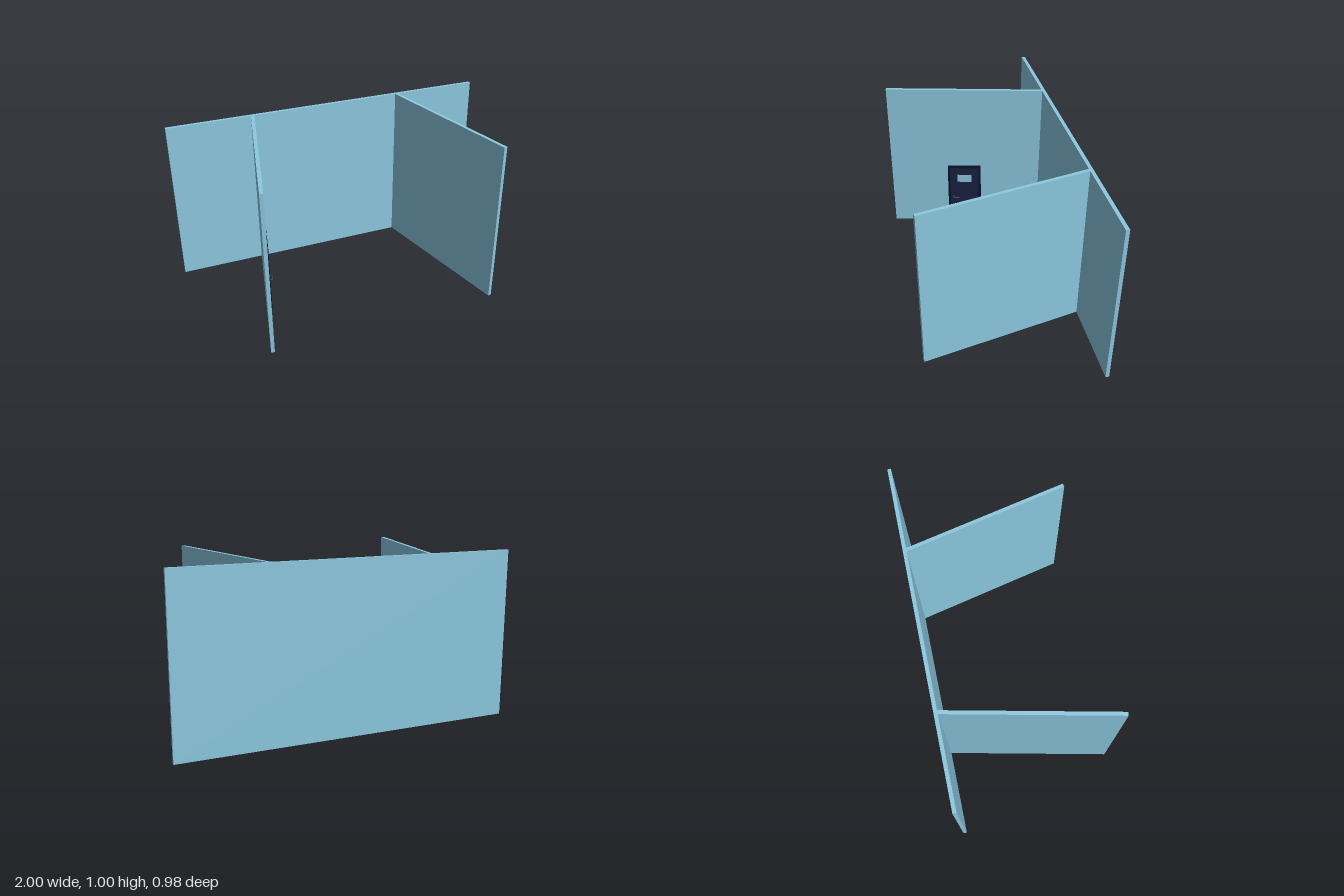
import * as THREE from 'three';

const mat = (color) => new THREE.MeshStandardMaterial({ color });
const wallMat = mat(0x8cc8e0), frameMat = mat(0x0d1128), leafMat = mat(0x18213f), handleMat = mat(0x4a4f5c);

function add(parent, name, geometry, material, x = 0, y = 0, z = 0) {
  const mesh = new THREE.Mesh(geometry, material);
  mesh.name = name;
  mesh.position.set(x, y, z);
  parent.add(mesh);
  return mesh;
}

const THICK = 0.021;

// Upright slab between two floor points [x, z]
function wall(parent, name, a, b) {
  const dx = b[0] - a[0], dz = b[1] - a[1];
  const mesh = add(parent, name, new THREE.BoxGeometry(THICK, 1, Math.hypot(dx, dz)), wallMat,
    (a[0] + b[0]) / 2, 0.5, (a[1] + b[1]) / 2);
  mesh.rotation.y = Math.atan2(dx, dz);
  return mesh;
}

const rect = (Type, x0, y0, x1, y1) => new Type([[x0, y0], [x1, y0], [x1, y1], [x0, y1]]
  .map(([x, y]) => new THREE.Vector2(x, y)));

const extrude = (shape, depth) => new THREE.ExtrudeGeometry(shape, { depth, bevelEnabled: false });

// Door standing on z = 0 and facing +z
function makeDoor() {
  const door = new THREE.Group();
  door.name = 'door';
  const w = 0.11, h = 0.445, t = 0.014;

  // Frame: two jambs and a head in one outline
  const outline = [[-w, 0], [-w + t, 0], [-w + t, h - t], [w - t, h - t], [w - t, 0], [w, 0], [w, h], [-w, h]];
  const frame = new THREE.Shape(outline.map(([x, y]) => new THREE.Vector2(x, y)));
  add(door, 'doorFrame', extrude(frame, 0.012), frameMat);

  // Leaf with a window opening
  const leaf = rect(THREE.Shape, -w + t, 0.002, w - t, h - t);
  leaf.holes.push(rect(THREE.Path, -0.048, 0.315, 0.048, 0.376));
  add(door, 'doorLeaf', extrude(leaf, 0.007), leafMat);

  // Lever handle: rose and a bent bar
  const rose = add(door, 'handleRose', new THREE.CylinderGeometry(0.006, 0.006, 0.003, 16), handleMat, -0.076, 0.2, 0.008);
  rose.rotation.x = Math.PI / 2;
  const path = new THREE.CatmullRomCurve3([[-0.076, 0.006], [-0.076, 0.021], [-0.071, 0.026], [-0.038, 0.026]]
    .map(([x, z]) => new THREE.Vector3(x, 0.2, z)), false, 'catmullrom', 0.2);
  add(door, 'handleLever', new THREE.TubeGeometry(path, 24, 0.0022, 8), handleMat);
  add(door, 'handleTip', new THREE.SphereGeometry(0.0022, 8, 6), handleMat, -0.038, 0.2, 0.026);
  return door;
}

export function createModel() {
  const model = new THREE.Group();
  model.name = 'roomWalls';

  add(model, 'backWall', new THREE.BoxGeometry(2, 1, THICK), wallMat, 0, 0.5, -0.4795);
  wall(model, 'leftWall', [0.464, -0.474], [0.681, 0.482]);
  const rightWall = wall(model, 'rightWall', [-0.482, -0.474], [-0.7, 0.485]);

  // Door on the inner face of the right wall
  const door = makeDoor();
  door.rotation.y = Math.PI / 2;
  door.position.set(THICK / 2, -0.5, 0.007);
  rightWall.add(door);
  return model;
}
